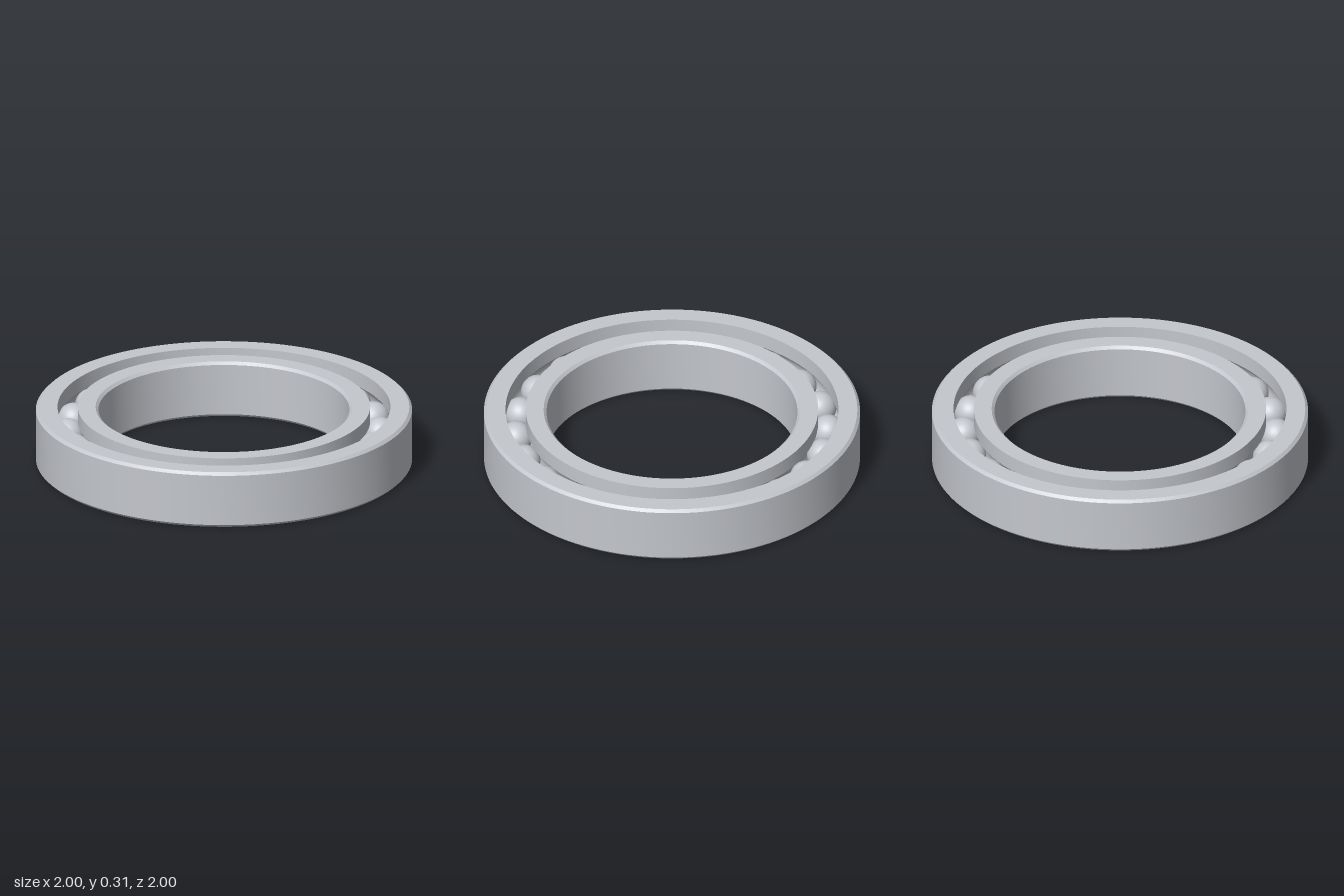
import * as THREE from 'three';
import { toCreasedNormals } from 'three/addons/utils/BufferGeometryUtils.js';

const H = 0.31;        // ring height
const CH = 0.015;      // edge chamfer
const PITCH = 0.83;    // radius of the ball circle
const BALL_R = 0.088;
const GROOVE_R = 0.09;
const BALLS = 22;

// Half circle section of a raceway, from the lower lip to the upper one
function groove(lipRadius) {
  const dx = lipRadius - PITCH;
  const half = Math.acos(Math.abs(dx) / GROOVE_R);
  const pts = [];
  for (let i = 0; i <= 10; i++) {
    const a = -half + (2 * half * i) / 10;
    pts.push([PITCH + Math.sign(dx) * GROOVE_R * Math.cos(a), H / 2 + GROOVE_R * Math.sin(a)]);
  }
  return pts;
}

// Closed counterclockwise section, spun with sharp edges kept
function ring(name, section, material) {
  const pts = [...section, section[0]].map(([r, y]) => new THREE.Vector2(r, y));
  const geometry = toCreasedNormals(new THREE.LatheGeometry(pts, 120), Math.PI / 6);
  const mesh = new THREE.Mesh(geometry, material);
  mesh.name = name;
  return mesh;
}

export function createModel() {
  const model = new THREE.Group();
  model.name = 'ballBearing';
  const steel = new THREE.MeshStandardMaterial({ color: 0xc4c7cd });
  steel.name = 'steel';

  // Outer ring, with its raceway on the inside
  const outerLip = 0.885;
  model.add(ring('outerRing', [
    [outerLip, 0], [1 - CH, 0], [1, CH], [1, H - CH], [1 - CH, H], [outerLip, H],
    ...groove(outerLip).reverse(),
  ], steel));

  // Inner ring, with its raceway on the outside
  const innerLip = 0.777, bore = 0.667;
  model.add(ring('innerRing', [
    [bore + CH, 0], [innerLip, 0], ...groove(innerLip), [innerLip, H],
    [bore + CH, H], [bore, H - CH], [bore, CH],
  ], steel));

  // Balls
  const balls = new THREE.Group();
  balls.name = 'balls';
  const ballGeometry = new THREE.SphereGeometry(BALL_R, 32, 20);
  for (let i = 0; i < BALLS; i++) {
    const a = (i / BALLS) * Math.PI * 2;
    const ball = new THREE.Mesh(ballGeometry, steel);
    ball.name = 'ball';
    ball.position.set(PITCH * Math.cos(a), H / 2, PITCH * Math.sin(a));
    balls.add(ball);
  }
  model.add(balls);
  return model;
}
